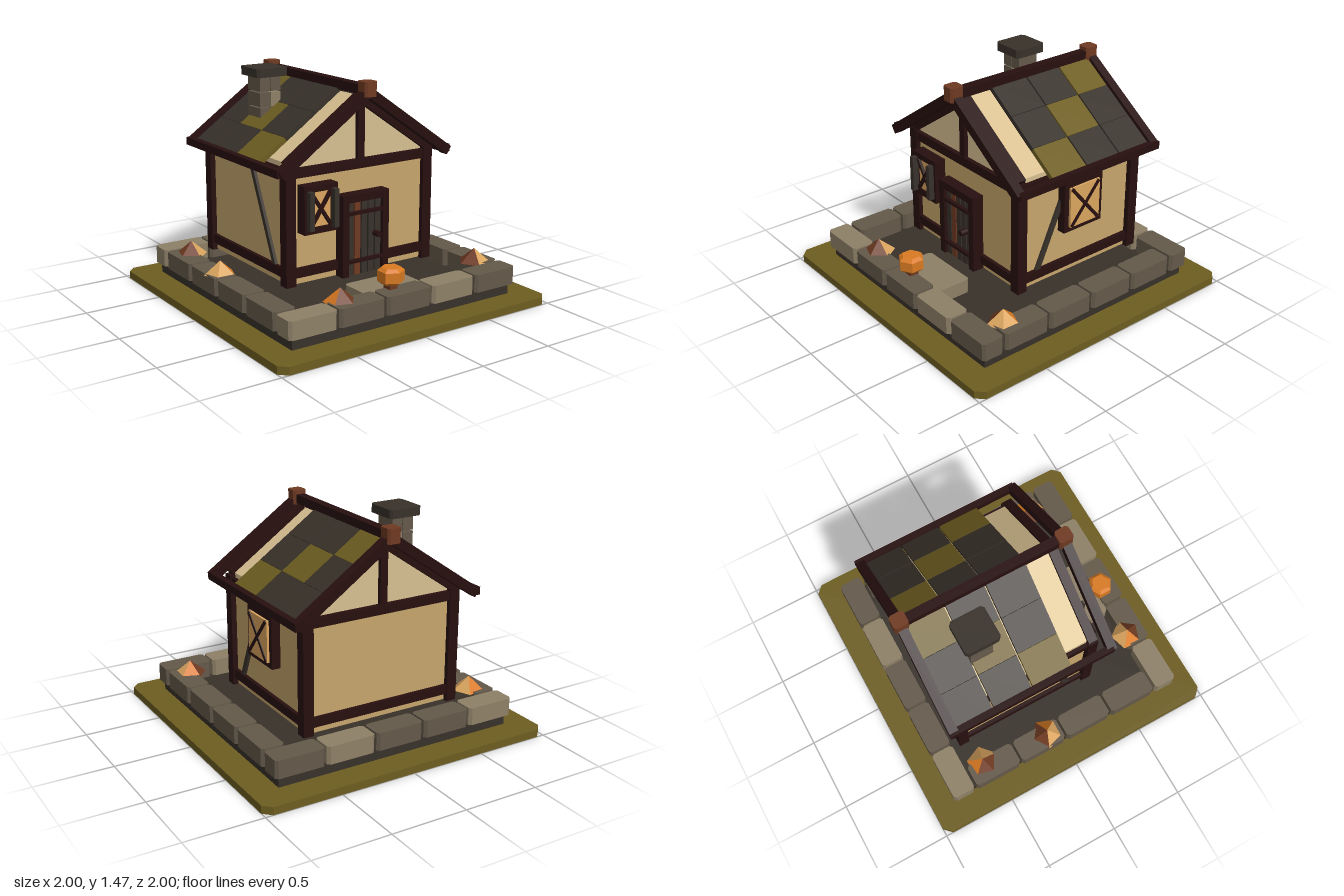
import * as THREE from 'three';

const mat = (name, color) => {
  const m = new THREE.MeshStandardMaterial({ color });
  m.name = name;
  return m;
};

export function createModel() {
  const house = new THREE.Group();
  house.name = 'cottage';

  const wall = mat('tan plaster', 0xc6a56b), cream = mat('cream plaster', 0xd8c091);
  const amber = mat('amber', 0xdba55f), olive = mat('olive', 0x6d5d20);
  const paleStone = mat('pale stone', 0x8e8067), stone = mat('stone', 0x64594a);
  const dark = mat('charcoal', 0x38312a), timber = mat('dark timber', 0x280f0f);
  const brown = mat('red brown', 0x6f3a22), orange = mat('orange', 0xd97a22);

  const add = (name, geometry, material) => {
    const mesh = new THREE.Mesh(geometry, material);
    mesh.name = name;
    house.add(mesh);
    return mesh;
  };

  // Box given by its extents
  const box = (name, m, x0, x1, y0, y1, z0, z1) => {
    const mesh = add(name, new THREE.BoxGeometry(x1 - x0, y1 - y0, z1 - z0), m);
    mesh.position.set((x0 + x1) / 2, (y0 + y1) / 2, (z0 + z1) / 2);
    return mesh;
  };

  // Upright block with its four vertical corners cut off
  const block = (name, m, x0, x1, y0, y1, z0, z1, c = 0.018) => {
    const w = (x1 - x0) / 2, d = (z1 - z0) / 2;
    const shape = new THREE.Shape([
      [w, -d + c], [w, d - c], [w - c, d], [-w + c, d],
      [-w, d - c], [-w, -d + c], [-w + c, -d], [w - c, -d],
    ].map(([x, y]) => new THREE.Vector2(x, y)));
    const g = new THREE.ExtrudeGeometry(shape, { depth: y1 - y0, bevelEnabled: false });
    g.rotateX(-Math.PI / 2);
    const mesh = add(name, g, m);
    mesh.position.set((x0 + x1) / 2, y0, (z0 + z1) / 2);
    return mesh;
  };

  // Straight bar from a to b; depth is measured along the normal
  const bar = (name, m, a, b, width, depth, normal) => {
    const A = new THREE.Vector3(...a), B = new THREE.Vector3(...b);
    const X = B.clone().sub(A), len = X.length();
    X.normalize();
    const Z = new THREE.Vector3(...normal), Y = Z.clone().cross(X);
    const mesh = add(name, new THREE.BoxGeometry(len, width, depth), m);
    mesh.position.copy(A).add(B).multiplyScalar(0.5);
    mesh.quaternion.setFromRotationMatrix(new THREE.Matrix4().makeBasis(X, Y, Z));
    return mesh;
  };

  // Ground
  block('grassSlab', olive, -1, 1, 0, 0.05, -1, 1, 0.05);
  box('foundation', dark, -0.82, 0.82, 0.05, 0.122, -0.82, 0.82);

  // Ring of border stones
  for (const s of [-1, 1]) {
    for (let i = 0; i < 5; i++) {
      const x = (i - 2) * 0.343;
      const z = s * 0.773;
      block('borderStone', i % 3 ? stone : paleStone, x - 0.164, x + 0.164, 0.12, 0.235, z - 0.076, z + 0.076);
    }
    for (let i = 0; i < 4; i++) {
      const z = (i - 1.5) * 0.343, x = s * 0.773;
      block('sideStone', stone, x - 0.076, x + 0.076, 0.12, 0.235, z - 0.164, z + 0.164);
    }
  }
  block('doorStep', paleStone, -0.21, 0.21, 0.12, 0.215, 0.46, 0.7);

  // Walls and gable body
  box('walls', wall, -0.52, 0.52, 0.225, 0.94, -0.62, 0.32);
  const gable = new THREE.Shape([[-0.52, 0.93], [0.52, 0.93], [0.52, 0.985], [0, 1.345], [-0.52, 0.985]]
    .map(([x, y]) => new THREE.Vector2(x, y)));
  add('gableBody', new THREE.ExtrudeGeometry(gable, { depth: 0.93, bevelEnabled: false }), cream).position.z = -0.615;

  // Timber frame and roof edges, mirrored left and right
  const slope = (x, top) => top - 0.69 * x;
  const rows = [[-0.145, 0.125], [-0.415, -0.155], [-0.68, -0.425]];
  for (const s of [-1, 1]) {
    for (const z of [0.315, -0.615]) {
      box('cornerPost', timber, s * 0.52 - 0.035, s * 0.52 + 0.035, 0.22, 0.97, z - 0.035, z + 0.035);
      bar('gableTrim', timber, [0, 1.335, z], [s * 0.53, slope(0.53, 1.335), z], 0.06, 0.06, [0, 0, 1]);
    }
    for (const y of [0.27, 0.895]) {
      box('sideBeam', timber, s * 0.52 - 0.025, s * 0.52 + 0.025, y, y + 0.06, -0.62, 0.32);
    }
    bar('wallBrace', dark, [s * 0.525, 0.32, 0.18], [s * 0.525, 0.9, -0.08], 0.032, 0.03, [s, 0, 0]);
    box('eaveBeam', timber, s * 0.628 - 0.022, s * 0.628 + 0.022, 0.93, 0.98, -0.73, 0.41);
    for (const z of [0.4, -0.7]) {
      bar('rakeBeam', timber, [0, 1.378, z], [s * 0.63, slope(0.63, 1.378), z], 0.06, 0.06, [0, 0, 1]);
    }
    // Three rows of roof tiles; the front row is missing
    rows.forEach(([z0, z1], r) => {
      for (let i = 0; i < 3; i++) {
        const a = 0.005 + i * 0.203, b = a + 0.201;
        bar('roofTile', i === 2 - r ? olive : dark,
          [s * a, slope(a, 1.37), (z0 + z1) / 2], [s * b, slope(b, 1.37), (z0 + z1) / 2],
          0.03, z1 - z0, [0, 0, 1]);
      }
    });
  }
  for (const z of [0.32, -0.62]) {
    for (const y of [0.27, 0.895]) {
      box('crossBeam', timber, -0.52, 0.52, y, y + 0.06, z - 0.025, z + 0.025);
    }
    box('kingPost', timber, -0.025, 0.025, 0.95, 1.32, z - 0.022, z + 0.022);
  }
  box('ridgeBeam', timber, -0.03, 0.03, 1.36, 1.42, -0.73, 0.43);
  for (const z of [0.398, -0.7]) {
    block('ridgeCap', brown, -0.046, 0.046, 1.352, 1.445, z - 0.048, z + 0.048, 0.015);
  }

  // Chimney of split stone courses
  for (let i = 0; i < 4; i++) {
    const y = 1.02 + i * 0.098;
    box('chimneyStone', stone, -0.35, -0.274, y, y + 0.09, -0.425, -0.275);
    box('chimneyStone', i % 2 ? stone : paleStone, -0.27, -0.197, y, y + 0.09, -0.425, -0.275);
  }
  block('chimneyCap', dark, -0.385, -0.16, 1.41, 1.465, -0.465, -0.235);

  // Door
  for (const s of [-1, 1]) {
    box('doorJamb', timber, s * 0.152 - 0.023, s * 0.152 + 0.023, 0.225, 0.75, 0.32, 0.4);
  }
  box('doorLintel', timber, -0.175, 0.175, 0.7, 0.75, 0.32, 0.4);
  box('doorBacking', timber, -0.13, 0.13, 0.225, 0.7, 0.32, 0.355);
  for (let i = 0; i < 5; i++) {
    const x = (i - 2) * 0.052;
    box('doorPlank', i === 1 ? brown : dark, x - 0.021, x + 0.021, 0.225, 0.7, 0.35, 0.38);
  }
  for (const y of [0.32, 0.63]) box('doorStrap', timber, -0.13, 0.13, y - 0.01, y + 0.01, 0.375, 0.405);
  const knob = add('doorKnob', new THREE.CylinderGeometry(0.02, 0.02, 0.05, 8), timber);
  knob.rotation.x = Math.PI / 2;
  knob.position.set(0.08, 0.475, 0.405);

  // Front window
  box('frontPane', amber, -0.41, -0.26, 0.59, 0.81, 0.32, 0.385);
  for (const s of [-1, 1]) {
    const x = -0.335 + s * 0.1, y = 0.7 + s * 0.13;
    box('frontWindowSide', timber, x - 0.02, x + 0.02, 0.55, 0.85, 0.32, 0.4);
    box('frontWindowRail', timber, -0.455, -0.215, y - 0.02, y + 0.02, 0.32, 0.4);
    box('frontShutterBar', dark, -0.335 + s * 0.088 - 0.016, -0.335 + s * 0.088 + 0.016, 0.58, 0.82, 0.395, 0.438);
    bar('frontLattice', timber, [-0.335 - s * 0.07, 0.595, 0.39], [-0.335 + s * 0.07, 0.805, 0.39], 0.02, 0.03, [0, 0, 1]);
  }

  // Window on the left wall
  box('sidePane', amber, 0.52, 0.593, 0.575, 0.845, -0.275, -0.035);
  for (const s of [-1, 1]) {
    const z = -0.153 + s * 0.137, y = 0.71 + s * 0.15;
    box('sideWindowPost', timber, 0.52, 0.578, 0.54, 0.88, z - 0.018, z + 0.018);
    box('sideWindowRail', timber, 0.52, 0.578, y - 0.02, y + 0.02, -0.308, 0.002);
    bar('sideLattice', timber, [0.59, 0.58, -0.153 - s * 0.11], [0.59, 0.84, -0.153 + s * 0.11], 0.022, 0.018, [1, 0, 0]);
  }

  // Pumpkin with a chamfered top
  const pumpkin = new THREE.Group();
  pumpkin.name = 'pumpkin';
  const parts = [[0.06, 0.084, 0.02, 0.36], [0.084, 0.084, 0.065, 0.3175], [0.084, 0.06, 0.02, 0.275]];
  for (const [top, bottom, h, y] of parts) {
    const m = new THREE.Mesh(new THREE.CylinderGeometry(top, bottom, h, 6).toNonIndexed(), orange);
    m.geometry.computeVertexNormals();
    m.name = 'pumpkinBody';
    m.position.y = y;
    pumpkin.add(m);
  }
  pumpkin.position.set(-0.05, 0, 0.72);
  house.add(pumpkin);
  box('pumpkinFoot', brown, -0.08, -0.02, 0.23, 0.27, 0.69, 0.75);

  // Five-sided leaf piles, each side in its own colour
  const piles = [[-0.42, 0.72, 0.3, 0], [0.72, 0.6, 0.9, 2], [-0.72, -0.57, 0.1, 1], [-0.76, -0.105, 0.6, 3]];
  const leaf = [brown, amber, amber, orange, brown];
  for (const [x, z, turn, first] of piles) {
    const g = new THREE.ConeGeometry(0.105, 0.09, 5, 1, true).toNonIndexed();
    g.computeVertexNormals();
    g.clearGroups();
    for (let i = 0; i < 5; i++) g.addGroup(i * 3, 3, (i + first) % 5);
    const pile = add('leafPile', g, leaf);
    pile.position.set(x, 0.27, z);
    pile.rotation.y = turn;
  }

  return house;
}
